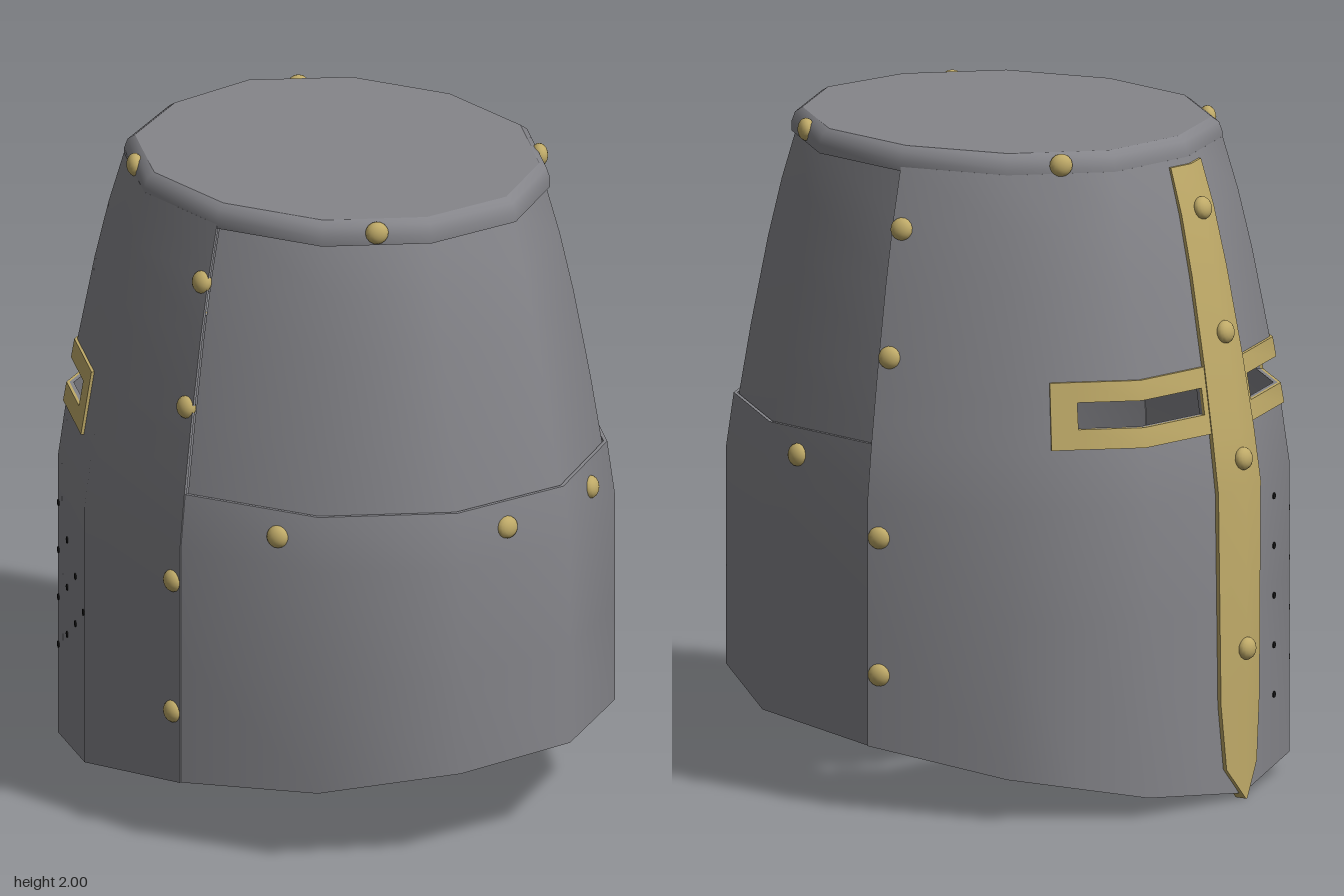
import * as THREE from 'three';
import { toCreasedNormals } from 'three/addons/utils/BufferGeometryUtils.js';

const mat = (name, color) => {
  const m = new THREE.MeshStandardMaterial({ color });
  m.name = name;
  return m;
};

// Half outline of the twelve-sided helm, from the face ridge (-z) round to the back (+z)
const RING_X = [0, 0.38, 0.66, 0.757, 0.66, 0.375, 0];
const RING_Z = [-0.827, -0.742, -0.428, 0, 0.437, 0.752, 0.872];
const HEM = [0.015, 0.06, 0.13, 0.2, 0.24, 0.29, 0.3];
// Taper of the outline with height
const TAPER_Y = [0, 0.95, 1.12, 1.33, 1.6, 1.78, 1.93];
const TAPER = [1, 1, 0.972, 0.93, 0.868, 0.818, 0.763];

function lerpTable(xs, ys, x) {
  if (x <= xs[0]) return ys[0];
  for (let i = 1; i < xs.length; i++) {
    if (x <= xs[i]) return ys[i - 1] + (ys[i] - ys[i - 1]) * (x - xs[i - 1]) / (xs[i] - xs[i - 1]);
  }
  return ys[ys.length - 1];
}
const STEPS = [0, 1, 2, 3, 4, 5, 6];

// u counts facets from the face ridge: 0 face, 3 +x side, 6 back, 9 (or -3) -x side
function fold(u) {
  const w = ((u % 12) + 12) % 12;
  return w > 6 ? [12 - w, -1] : [w, 1];
}
const hem = (u) => lerpTable(STEPS, HEM, fold(u)[0]);
const taper = (y) => lerpTable(TAPER_Y, TAPER, y);
function scaled(u, y, k) {
  const [a, side] = fold(u);
  return new THREE.Vector3(side * k * lerpTable(STEPS, RING_X, a), y, k * lerpTable(STEPS, RING_Z, a));
}
const at = (u, y, out) => scaled(u, y, taper(y) * (1 + out));

function geometryFrom(points, crease) {
  const g = new THREE.BufferGeometry().setFromPoints(points);
  g.computeVertexNormals();
  return toCreasedNormals(g, crease);
}

// Solid sheet following the helm; map(c, r) gives [u, y], skip(c, r) leaves openings
function sheet(cols, rows, map, inner, outer, skip = () => false) {
  const pts = [];
  const quad = (a, b, c, d) => pts.push(a, b, c, a, c, d);
  const P = (i, j, out) => at(...map(cols[i], rows[j]), out);
  const filled = (i, j) => i >= 0 && j >= 0 && i < cols.length - 1 && j < rows.length - 1 &&
    !skip((cols[i] + cols[i + 1]) / 2, (rows[j] + rows[j + 1]) / 2);
  for (let i = 0; i < cols.length - 1; i++) {
    for (let j = 0; j < rows.length - 1; j++) {
      if (!filled(i, j)) continue;
      const corners = [[i, j], [i, j + 1], [i + 1, j + 1], [i + 1, j]];
      const o = corners.map(([a, b]) => P(a, b, outer));
      const n = corners.map(([a, b]) => P(a, b, inner));
      quad(o[0], o[1], o[2], o[3]);
      quad(n[3], n[2], n[1], n[0]);
      const next = [[i - 1, j], [i, j + 1], [i + 1, j], [i, j - 1]];
      next.forEach(([a, b], e) => {
        const f = (e + 1) % 4;
        if (!filled(a, b)) quad(o[f], o[e], n[e], n[f]);
      });
    }
  }
  return geometryFrom(pts, 0.8);
}

// Stack of outline rings given as [scale, y]
function loft(profile) {
  const pts = [];
  for (let j = 0; j < profile.length - 1; j++) {
    const [k0, y0] = profile[j], [k1, y1] = profile[j + 1];
    for (let u = 0; u < 12; u++) {
      const a = scaled(u, y0, k0), b = scaled(u, y1, k1);
      const c = scaled(u + 1, y1, k1), d = scaled(u + 1, y0, k0);
      if (k1 > 0) pts.push(a, b, c);
      if (k0 > 0) pts.push(a, c, d);
    }
  }
  return geometryFrom(pts, 0.8);
}

export function createModel() {
  const helm = new THREE.Group();
  helm.name = 'greatHelm';
  const steel = mat('steel', 0x85858a);
  const brass = mat('brass', 0xbfaa68);
  const dark = mat('hole black', 0x141414);

  const add = (name, geo, material, parent = helm) => {
    const m = new THREE.Mesh(geo, material);
    m.name = name;
    parent.add(m);
    return m;
  };
  const group = (name) => {
    const g = new THREE.Group();
    g.name = name;
    helm.add(g);
    return g;
  };
  // Seat a mesh on the shell with its y axis pointing outward
  const seat = (mesh, u, y, out) => {
    const along = at(u + 0.02, y, out).sub(at(u - 0.02, y, out));
    const up = at(u, y + 0.02, out).sub(at(u, y - 0.02, out));
    const normal = up.cross(along).normalize();
    const p = at(u, y, out);
    if (normal.x * p.x + normal.z * p.z < 0) normal.negate();
    mesh.position.copy(p);
    mesh.quaternion.setFromUnitVectors(new THREE.Vector3(0, 1, 0), normal);
  };

  // Steel plates
  const plain = (u, y) => [u, y];
  const hemmed = (u, y) => [u, y === 0 ? hem(u) : y];
  const inSlit = (u, y) => Math.abs(u) > 0.34 && Math.abs(u) < 1.48 && y > 1.19 && y < 1.27;
  add('facePlate', sheet([-3, -2, -1.48, -1, -0.34, 0, 0.34, 1, 1.48, 2, 3],
    [0, 0.6, 0.95, 1.12, 1.19, 1.27, 1.33, 1.6, 1.78, 1.94], hemmed, 0, 0.016, inSlit), steel);
  const backCols = [3, 4, 5, 6, 7, 8, 9];
  add('lowerBackPlate', sheet(backCols, [0, 0.6, 0.95, 1.12], hemmed, -0.004, 0.01), steel);
  add('upperBackPlate', sheet(backCols, [1.06, 1.12, 1.33, 1.6, 1.78, 1.94], plain, -0.022, -0.01), steel);

  // Cap with a rounded edge
  add('capRim', loft([[0.775, 1.927], [0.775, 1.955], [0.762, 1.985], [0.735, 2]]), steel);
  add('capTop', loft([[0.735, 2], [0, 2]]), steel);
  add('capUnderside', loft([[0, 1.927], [0.775, 1.927]]), steel);

  // Brass cross: upright strip and a frame round each eye slit
  const halfWidth = (y) => lerpTable([0, 0.1, 0.3, 1, 1.92], [0.004, 0.08, 0.102, 0.113, 0.08], y);
  add('noseStrip', sheet([-1, 0, 1], [0, 0.1, 0.3, 0.95, 1.12, 1.33, 1.6, 1.78, 1.92],
    (c, y) => [c * halfWidth(y) / (0.38 * taper(y)), y], -0.012, 0.032), brass);
  for (const s of [1, -1]) {
    const cols = [0.2, 0.34, 1, 1.48, 1.68].map((u) => u * s).sort((a, b) => a - b);
    add(s > 0 ? 'leftEyeFrame' : 'rightEyeFrame',
      sheet(cols, [1.13, 1.19, 1.27, 1.33], plain, 0.016, 0.028, inSlit), brass);
  }

  // Rivets
  const rivets = group('rivets');
  const rivetGeo = new THREE.SphereGeometry(0.035, 16, 10).scale(1, 0.72, 1);
  const rivet = (u, y, out) => seat(add('rivet', rivetGeo, brass, rivets), u, y, out);
  for (const y of [0.46, 1.04, 1.42, 1.79]) rivet(0, y, 0.032);
  for (const s of [1, -1]) {
    for (const y of [0.42, 0.84, 1.38, 1.76]) rivet(s * 2.92, y, 0.012);
    for (const u of [4 - 0.3 + 0, 5.45]) rivet(s * (u === 5.45 ? u : 3.7), 1.04, 0.008);
    for (const u of [1.5, 4.5]) rivet(s * u, 1.965, 0.012);
  }

  // Triangle of breathing holes on one cheek
  const holes = group('breathingHoles');
  const holeGeo = new THREE.CylinderGeometry(0.01, 0.01, 0.02, 10);
  [-0.66, -1.03, -1.36, -1.67, -1.97].forEach((u, i) => {
    const n = 5 - i;
    for (let k = 0; k < n; k++) {
      seat(add('breathingHole', holeGeo, dark, holes), u, 0.567 + 0.01 * i + (k - (n - 1) / 2) * 0.152, 0.008);
    }
  });
  return helm;
}
